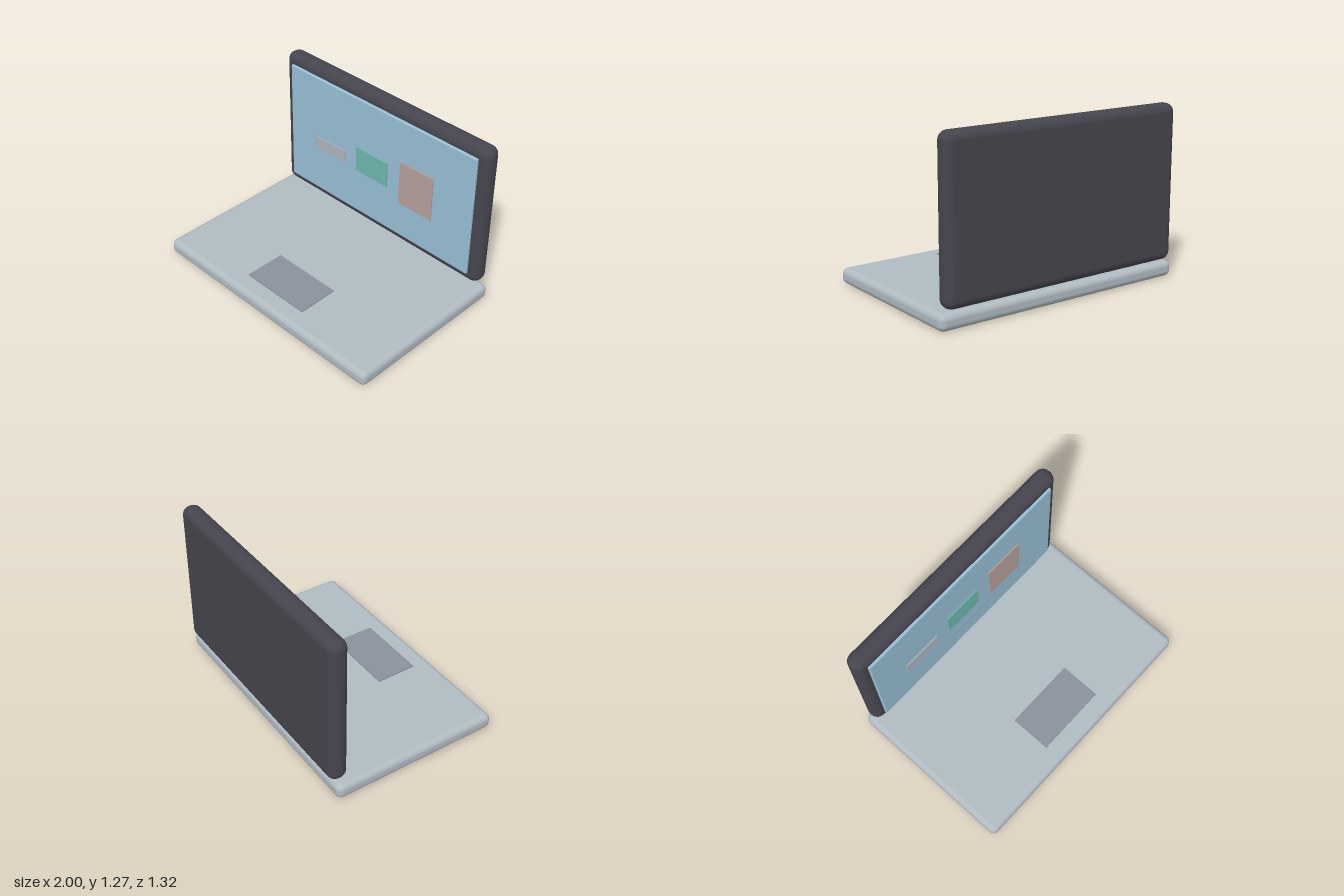
import * as THREE from 'three';
import { RoundedBoxGeometry } from 'three/addons/geometries/RoundedBoxGeometry.js';

const material = (name, color) => {
  const m = new THREE.MeshStandardMaterial({ color });
  m.name = name;
  return m;
};

export function createModel() {
  const silver = material('silver casing', 0xb0bbc2);
  const charcoal = material('charcoal lid', 0x46454e);
  const blue = material('screen blue', 0x98bfd6);
  const slate = material('trackpad slate', 0x8a919c);
  const grey = material('tile grey', 0xaeb5b9);
  const green = material('tile green', 0x6eb8ae);
  const clay = material('tile clay', 0xb6a19c);

  const laptop = new THREE.Group();
  laptop.name = 'laptop';

  // Box between two corners, rounded when a radius is given
  const addBox = (name, mat, min, max, radius = 0) => {
    const size = max.map((v, i) => v - min[i]);
    const geometry = radius
      ? new RoundedBoxGeometry(...size, 5, radius)
      : new THREE.BoxGeometry(...size);
    const mesh = new THREE.Mesh(geometry, mat);
    mesh.name = name;
    mesh.position.set(...max.map((v, i) => (v + min[i]) / 2));
    laptop.add(mesh);
  };

  // Keyboard deck with trackpad
  addBox('base', silver, [-1, 0, -0.63], [1, 0.117, 0.66], 0.045);
  addBox('trackpad', slate, [-0.277, 0.116, 0.207], [0.277, 0.125, 0.518]);

  // Upright lid with raised screen
  addBox('lid', charcoal, [-0.965, 0.138, -0.662], [0.965, 1.272, -0.52], 0.065);
  addBox('screen', blue, [-0.885, 0.217, -0.53], [0.885, 1.196, -0.501], 0.009);

  // Three tiles on the screen: left, right, bottom, top
  const tiles = [
    ['greyTile', grey, -0.62, -0.312, 0.593, 0.692],
    ['greenTile', green, -0.195, 0.113, 0.585, 0.789],
    ['clayTile', clay, 0.232, 0.54, 0.508, 0.867],
  ];
  for (const [name, mat, x0, x1, y0, y1] of tiles) {
    addBox(name, mat, [x0, y0, -0.502], [x1, y1, -0.493]);
  }

  return laptop;
}
